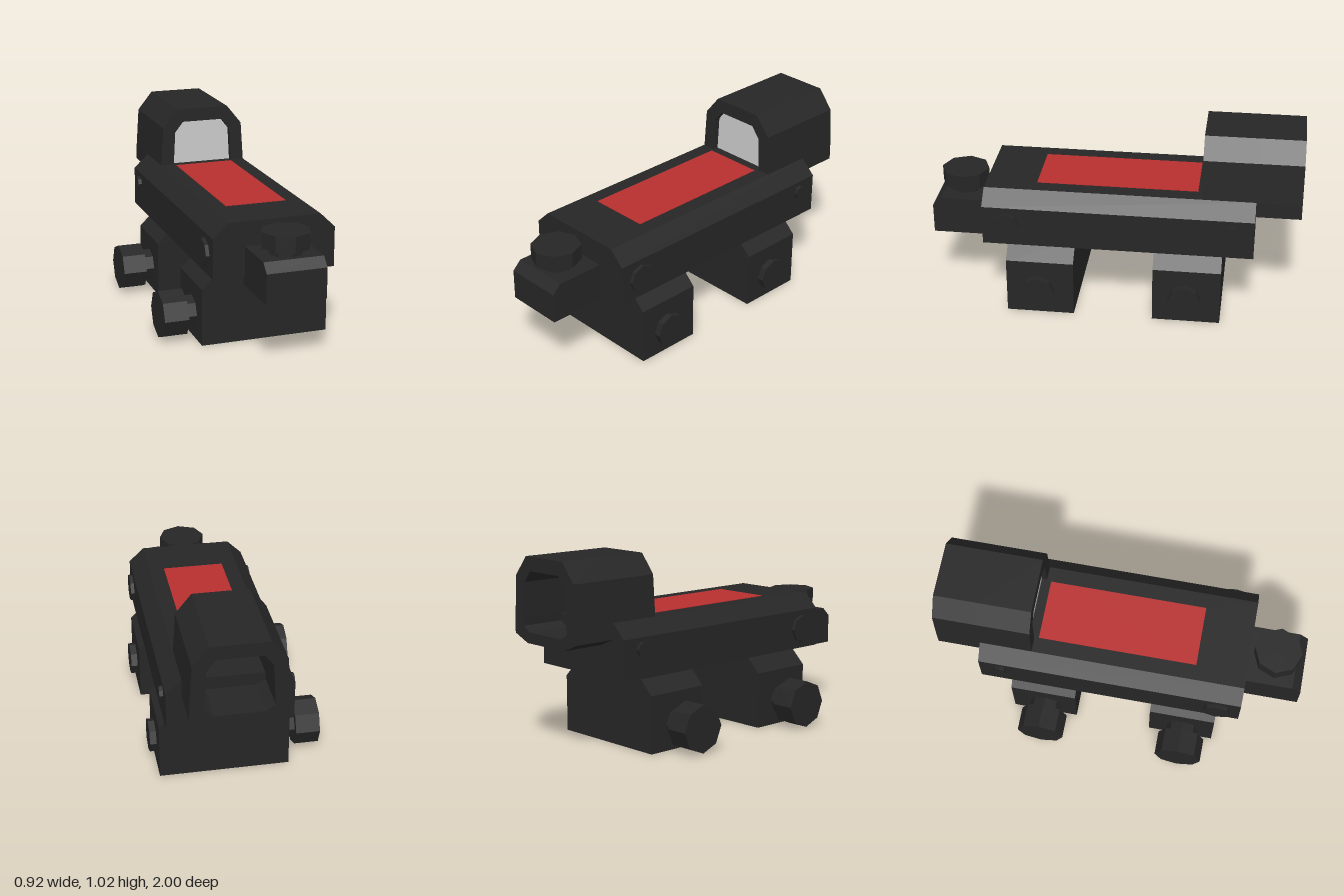
import * as THREE from 'three';

const CX = 0.075; // sight axis, offset by the side knobs
const black = new THREE.MeshStandardMaterial({ color: 0x262626, flatShading: true });
const red = new THREE.MeshStandardMaterial({ color: 0xb83030 });
const grey = new THREE.MeshStandardMaterial({ color: 0xcccccc, side: THREE.DoubleSide });

// full outline from its right half, mirrored about the axis
const mirrored = (half) => [...half, ...half.map(([x, y]) => [-x, y]).reverse()]
  .map(([x, y]) => new THREE.Vector2(x, y));

export function createModel() {
  const model = new THREE.Group();
  model.name = 'reflexSight';

  const add = (name, geometry, material, x, y, z, parent = model) => {
    const mesh = new THREE.Mesh(geometry, material);
    mesh.name = name;
    mesh.position.set(x, y, z);
    parent.add(mesh);
    return mesh;
  };

  // prism along z between two depths, with an optional opening
  const prism = (name, outline, zBack, zFront, hole) => {
    const shape = new THREE.Shape(outline);
    if (hole) shape.holes.push(new THREE.Path(hole));
    const geo = new THREE.ExtrudeGeometry(shape, { depth: zFront - zBack, bevelEnabled: false });
    return add(name, geo, black, CX, 0, zBack);
  };

  // eight-sided disc or knob lying along x
  const sideDisc = (name, r, x0, x1, y, z) => {
    const geo = new THREE.CylinderGeometry(r, r, x1 - x0, 8).rotateZ(Math.PI / 2);
    add(name, geo, black, (x0 + x1) / 2, y, z);
  };

  // main body
  prism('body', mirrored([[0.333, 0.405], [0.333, 0.622], [0.252, 0.7]]), -0.76, 0.69);
  add('topPanel', new THREE.BoxGeometry(0.335, 0.006, 0.865), red, CX, 0.7, -0.018);

  // screws on the body sides
  for (const [r, y, z] of [[0.077, 0.517, 0.563], [0.037, 0.562, -0.642]]) {
    sideDisc('bodyScrew', r, 0.39, 0.428, y, z);
    sideDisc('bodyScrew', r, -0.278, -0.24, y, z);
  }

  // mounting feet with clamp knobs
  for (const z of [0.383, -0.412]) {
    prism('mountFoot', mirrored([[0.35, 0], [0.35, 0.31], [0.252, 0.405]]), z - 0.183, z + 0.183);
    sideDisc('footBolt', 0.09, 0.42, 0.46, 0.136, z + 0.01);
    sideDisc('knobStem', 0.09, -0.335, -0.27, 0.136, z + 0.01);
    sideDisc('clampKnob', 0.13, -0.462, -0.33, 0.136, z + 0.01);
  }

  // lens hood: an arch over the body, then a closed ring behind it
  const hoodTop = [[0.236, 0.92], [0.151, 1.025]];
  const window = [[0.175, 0.7], [0.165, 0.89], [0.117, 0.95]];
  const arch = [[0.175, 0.7], [0.251, 0.7], ...hoodTop];
  const archOutline = [...mirrored(arch), ...mirrored(window).slice(3), ...mirrored(window).slice(0, 3)];
  // the inner edge runs back from the left foot of the arch to the right one
  const outer = mirrored(arch.slice(1));
  const inner = mirrored(window).reverse();
  archOutline.splice(0, archOutline.length, ...outer, ...inner);
  prism('hoodArch', archOutline, -0.76, -0.475);
  prism('hoodRing',
    mirrored([[0.15, 0.573], [0.253, 0.615], [0.251, 0.7], ...hoodTop]), -1, -0.76,
    mirrored([[0.13, 0.63], [0.178, 0.66], ...window]));
  add('lens', new THREE.ShapeGeometry(new THREE.Shape(mirrored(window))), grey, CX, 0, -0.505);

  // front block, profile in the side plane swept along x
  const side = [[-0.675, 0.357], [-1, 0.357], [-1, 0.52], [-0.952, 0.567], [-0.675, 0.567]]
    .map(([a, y]) => new THREE.Vector2(a, y));
  const block = new THREE.ExtrudeGeometry(new THREE.Shape(side), { depth: 0.322, bevelEnabled: false });
  block.translate(0, 0, -0.161).rotateY(Math.PI / 2);
  add('frontBlock', block, black, CX, 0, 0);

  // adjustment knob on the front block
  add('adjustStem', new THREE.CylinderGeometry(0.09, 0.09, 0.05, 8), black, CX, 0.585, 0.842);
  add('adjustKnob', new THREE.CylinderGeometry(0.13, 0.13, 0.084, 8), black, CX, 0.643, 0.842);

  return model;
}
